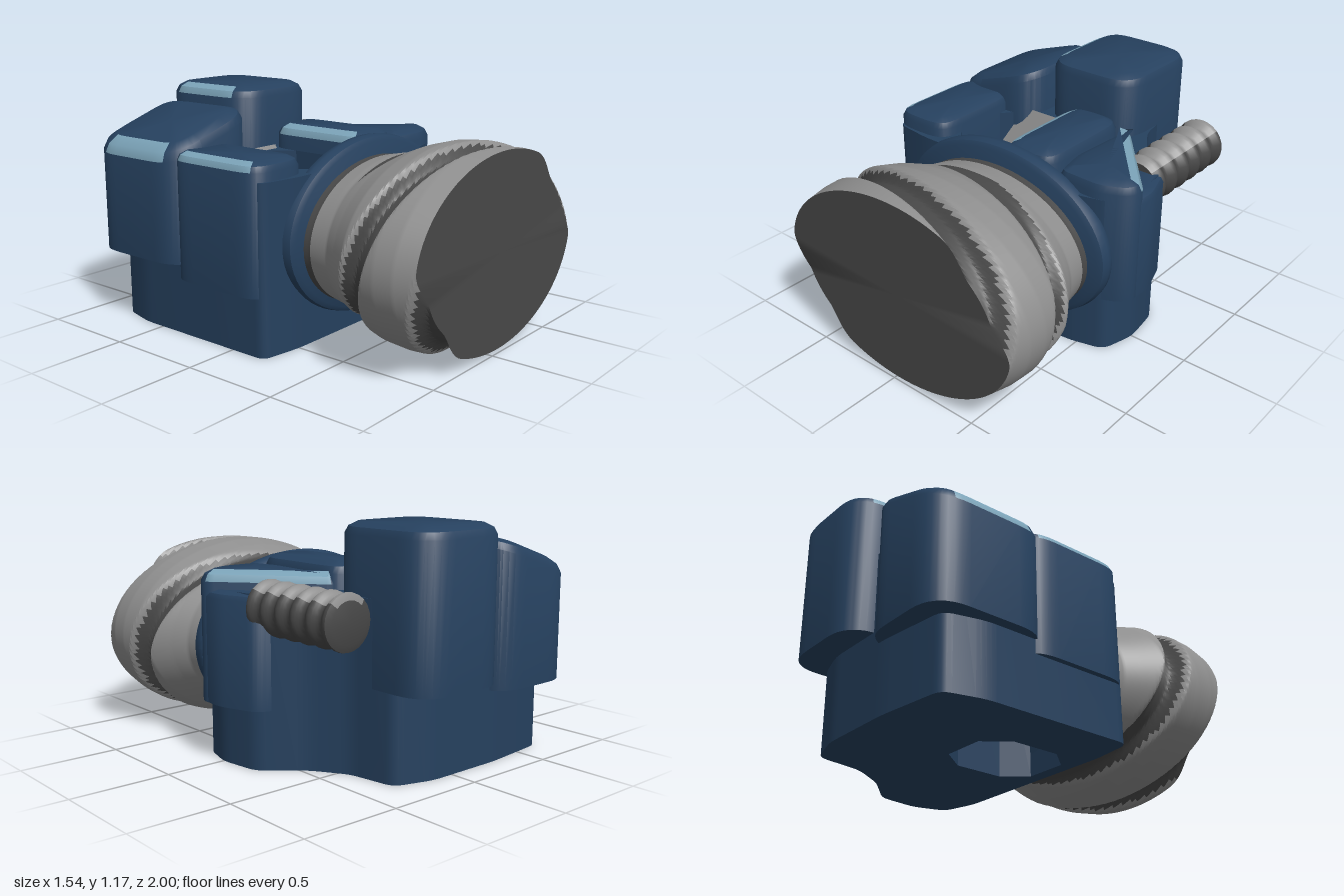
import * as THREE from 'three';
import { toCreasedNormals } from 'three/addons/utils/BufferGeometryUtils.js';

const mat = (name, color, side = THREE.FrontSide) => {
  const m = new THREE.MeshStandardMaterial({ color, side });
  m.name = name;
  return m;
};

// Joins equal-length rings into a closed skin; accent(j, i) picks the second material.
function loft(rings, accent = () => false, accentEnd = false) {
  const n = rings[0].length, pos = [], main = [], second = [];
  rings.forEach(r => r.forEach(p => pos.push(...p)));
  for (let j = 0; j < rings.length - 1; j++) for (let i = 0; i < n; i++) {
    const a = j * n + i, b = j * n + (i + 1) % n;
    (accent(j, i) ? second : main).push(a, b, b + n, a, b + n, a + n);
  }
  [0, rings.length - 1].forEach((j, end) => {
    const mid = [0, 1, 2].map(k => rings[j].reduce((s, p) => s + p[k], 0) / n);
    const c = pos.length / 3;
    pos.push(...mid);
    for (let i = 0; i < n; i++) {
      const a = j * n + i, b = j * n + (i + 1) % n;
      (end && accentEnd ? second : main).push(...(end ? [c, a, b] : [c, b, a]));
    }
  });
  const g = new THREE.BufferGeometry();
  g.setAttribute('position', new THREE.Float32BufferAttribute(pos, 3));
  g.setIndex([...main, ...second]);
  g.addGroup(0, main.length, 0);
  if (second.length) g.addGroup(main.length, second.length, 1);
  return toCreasedNormals(g, 0.6);
}

// Rounds the corners of a plan outline given as [x, z] and orders it counter-clockwise from above.
function roundedOutline(points, radius) {
  let pts = points.map(([x, z]) => new THREE.Vector2(x, -z));
  if (THREE.ShapeUtils.area(pts) < 0) pts.reverse();
  const out = [];
  pts.forEach((p, i) => {
    const reach = q => p.clone().add(q.clone().sub(p).setLength(Math.min(radius, q.distanceTo(p) * 0.45)));
    const a = reach(pts[(i + pts.length - 1) % pts.length]), b = reach(pts[(i + 1) % pts.length]);
    out.push(...new THREE.QuadraticBezierCurve(a, p, b).getPoints(4));
  });
  return out;
}

// Upright block with a bevelled top; bevel faces pointing along "toward" take the accent colour.
function block(points, y0, y1, { slope = 0, toward = null, bevel = 0.06, radius = 0.09 } = {}) {
  const o = roundedOutline(points, radius), n = o.length;
  const edge = i => {
    const d = o[(i + 1) % n].clone().sub(o[i]).normalize();
    return new THREE.Vector2(d.y, -d.x);
  };
  const normals = o.map((p, i) => edge(i).add(edge((i + n - 1) % n)).normalize());
  const cx = o.reduce((s, p) => s + p.x, 0) / n;
  const ring = (y, inset, tilt) => o.map((p, i) => {
    const x = p.x - normals[i].x * inset, z = -(p.y - normals[i].y * inset);
    return [x, y + tilt * (x - cx), z];
  });
  const rings = [ring(y0, 0, 0), ring(y1 - bevel * 0.9, 0, slope),
    ring(y1 - bevel * 0.35, bevel * 0.3, slope), ring(y1, bevel, slope)];
  const dir = toward && new THREE.Vector2(toward[0], -toward[1]).normalize();
  return loft(rings, (j, i) => !!dir && j > 0 && edge(i).dot(dir) > 0.93);
}

export function createModel() {
  const blue = mat('deep blue', 0x26415f), pale = mat('pale blue', 0x7ba3b8);
  const gray = mat('mid gray', 0x8f8f8f), dark = mat('dark gray', 0x484848);
  const model = new THREE.Group();
  const add = (name, geometry, material) => {
    const m = new THREE.Mesh(geometry, material);
    m.name = name;
    model.add(m);
    return m;
  };

  // Core with an octagonal shaft
  const footprint = [[-0.72, 0.2], [-0.72, -0.62], [-0.67, -0.82], [-0.3, -0.86], [0.12, -0.86], [0.32, -0.8],
    [0.36, -0.55], [0.47, -0.38], [0.66, -0.22], [0.69, 0], [0.64, 0.18], [0.45, 0.23], [-0.5, 0.23]];
  const shaft = [[-0.32, -0.35], [-0.1, -0.35], [0, -0.22], [0, 0.04], [-0.1, 0.16], [-0.32, 0.16], [-0.42, 0.04], [-0.42, -0.22]];
  const flat = list => list.map(([x, z]) => new THREE.Vector2(x, -z));
  const plan = new THREE.Shape(roundedOutline(footprint, 0.05));
  plan.holes.push(new THREE.Path(flat(shaft)));
  const core = new THREE.ExtrudeGeometry(plan, { depth: 0.84, bevelEnabled: false });
  add('core', toCreasedNormals(core.rotateX(-Math.PI / 2), 0.5), blue);

  // Shaft floor and sloping back
  const floor = new THREE.ExtrudeGeometry(new THREE.Shape(flat(shaft)), { depth: 0.35, bevelEnabled: false });
  add('shaftFloor', floor.rotateX(-Math.PI / 2).translate(0, 0.2, 0), dark);
  const wedge = new THREE.Shape([[-0.18, 0.54], [0.0, 0.54], [0.0, 0.86]].map(p => new THREE.Vector2(...p)));
  const slopeGeo = new THREE.ExtrudeGeometry(wedge, { depth: 0.4, bevelEnabled: false });
  add('shaftSlope', slopeGeo.rotateY(Math.PI / 2).translate(-0.41, 0, -0.36), gray);

  // Rounded blocks around the core
  const box = (x0, x1, z0, z1, c = 0.06) => [[x0 + c, z0], [x1 - c, z0], [x1, z0 + c], [x1, z1 - c],
    [x1 - c, z1], [x0 + c, z1], [x0, z1 - c], [x0, z0 + c]];
  const left = [-1, 0], mats = [blue, pale];
  add('tallBackBlock', block(box(-0.21, 0.34, -1, -0.39, 0.09), 0.43, 1.17, { toward: left }), mats);
  add('slopedBackBlock', block(box(-0.775, -0.23, -0.935, -0.3, 0.09), 0.36, 1.02, { slope: 0.33, toward: left, bevel: 0.07 }), mats);
  add('sideBlock', block(box(-0.75, -0.4, -0.38, 0.2), 0.29, 0.93, { toward: left, bevel: 0.05 }), mats);
  add('middleBlock', block(box(0, 0.31, -0.4, 0.21), 0.29, 0.97, { toward: left }), mats);
  add('cornerBlock', block([[0.33, -0.43], [0.3, 0], [0.34, 0.19], [0.58, 0.2], [0.71, 0.14], [0.745, 0.06]],
    0.29, 0.93, { toward: [0.78, -0.63], radius: 0.05 }), mats);
  add('cornerShoulder', block([[0.42, -0.32], [0.5, -0.3], [0.67, -0.25], [0.74, -0.04], [0.73, 0.1], [0.5, 0.15]],
    0.29, 0.84, { radius: 0.05, bevel: 0.04 }), blue);

  // Oval collar
  const collar = [[0, 0.14], [0.6, 0.16], [0.635, 0.19], [0.64, 0.22], [0.63, 0.255], [0.6, 0.27], [0, 0.27]];
  const collarGeo = new THREE.LatheGeometry(collar.map(p => new THREE.Vector2(...p)), 64);
  collarGeo.rotateX(Math.PI / 2).scale(1, 0.7, 1).translate(0.04, 0.52, 0);
  add('collar', toCreasedNormals(collarGeo, 0.7), blue);

  // Oval barrel with a two-start spiral groove: z, half width, half height
  const stations = [[0.22, 0.55, 0.37], [0.3, 0.55, 0.37], [0.42, 0.57, 0.395], [0.5, 0.62, 0.42],
    [0.6, 0.69, 0.46], [0.7, 0.72, 0.487], [0.8, 0.73, 0.495], [0.9, 0.725, 0.49], [1, 0.7, 0.478]];
  const sample = (z, k) => {
    const i = Math.max(0, Math.min(stations.length - 2, stations.findIndex(s => s[0] >= z) - 1));
    const [a, b] = [stations[i], stations[i + 1]];
    return THREE.MathUtils.lerp(a[k], b[k], THREE.MathUtils.clamp((z - a[0]) / (b[0] - a[0]), 0, 1));
  };
  const pitch = 0.4, sides = 144, rows = 78;
  const rowZ = j => 0.22 + 0.78 * j / rows;
  const grooveOffset = (z, t) => {
    const d = (z - 0.66 + pitch * t / Math.PI) / pitch;
    return Math.abs(d - Math.round(d)) * pitch;
  };
  const barrel = [];
  for (let j = 0; j <= rows; j++) {
    const z = rowZ(j), ring = [];
    for (let i = 0; i < sides; i++) {
      const t = i / sides * Math.PI * 2;
      const cut = (1 - THREE.MathUtils.smoothstep(grooveOffset(z, t), 0.025, 0.08)) * THREE.MathUtils.smoothstep(z, 0.38, 0.64);
      const k = 1 - 0.13 * cut;
      ring.push([0.04 + sample(z, 1) * k * Math.cos(t), 0.5 + sample(z, 2) * k * Math.sin(t), z]);
    }
    barrel.push(ring);
  }
  const inGroove = (j, i) => {
    const z = (rowZ(j) + rowZ(j + 1)) / 2;
    return z < 0.31 || (z > 0.43 && grooveOffset(z, (i + 0.5) / sides * Math.PI * 2) < 0.06);
  };
  add('spiralBarrel', loft(barrel, inGroove, true), [gray, dark]);

  // Ribbed bolt with a paler strip along its top
  const boltRings = [], boltSides = 24, boltRows = 50;
  for (let j = 0; j <= boltRows; j++) {
    const s = j / boltRows, z = -0.77 + 0.6 * s, ring = [];
    const r = (0.118 + 0.014 * Math.cos(s * Math.PI * 2 * 5.6 - 1.2)) * (j === 0 ? 0.8 : 1);
    for (let i = 0; i < boltSides; i++) {
      const t = i / boltSides * Math.PI * 2;
      ring.push([0.56 + r * Math.cos(t), 0.77 + r * Math.sin(t), z]);
    }
    boltRings.push(ring);
  }
  add('ribbedBolt', loft(boltRings, (j, i) => i >= 3 && i < 9), [dark, gray]);

  return model;
}
